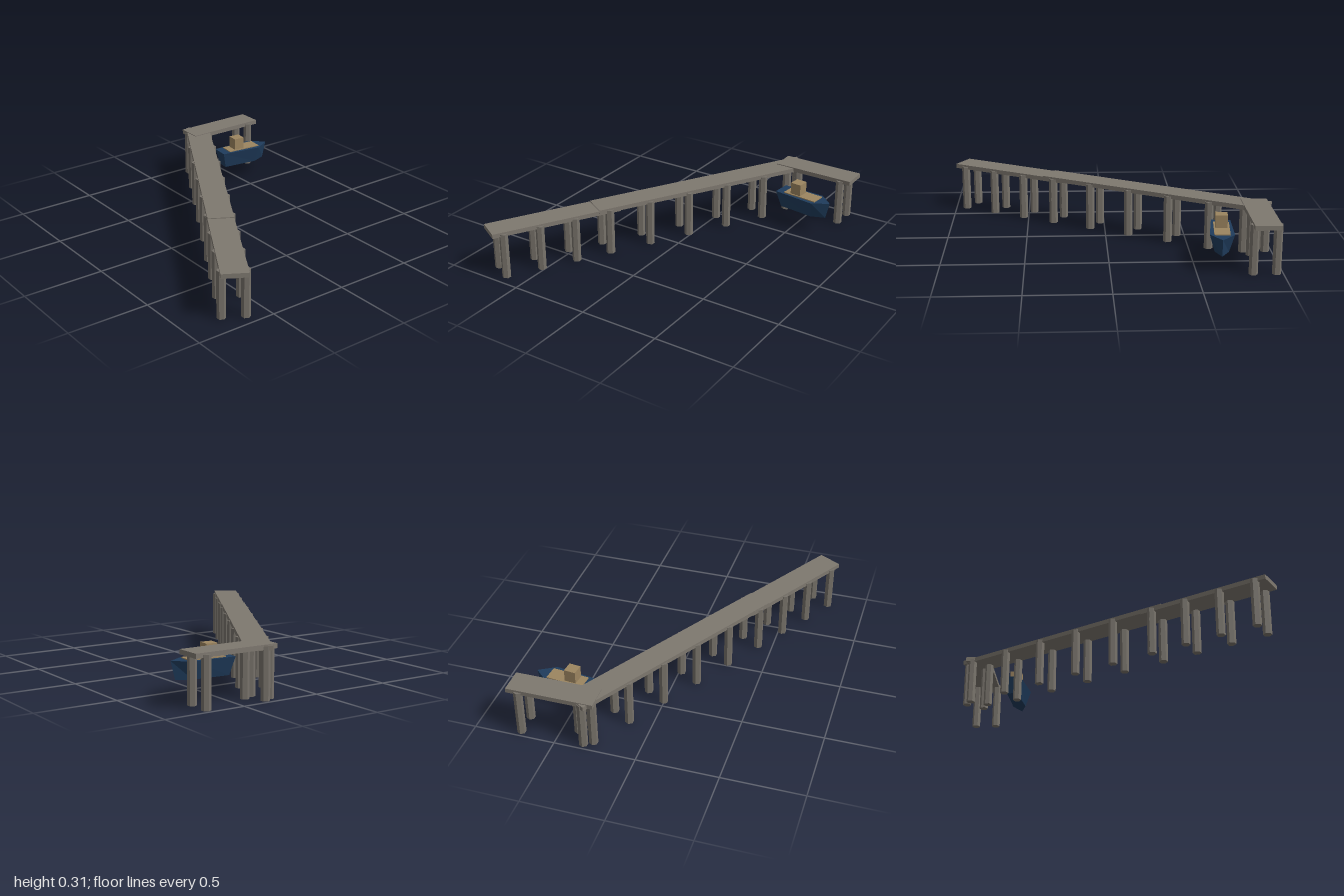
import * as THREE from 'three';

const mat = (name, color) => {
  const m = new THREE.MeshStandardMaterial({ color });
  m.name = name;
  return m;
};

export function createModel() {
  const plank = mat('weathered planks', 0x7e786f);
  const pileWood = mat('weathered piles', 0x77726a);
  const navy = mat('navy hull', 0x1f3c5c);
  const tan = mat('tan wood', 0x9c8560);
  const model = new THREE.Group();

  const add = (parent, name, geometry, material, x, y, z) => {
    const mesh = new THREE.Mesh(geometry, material);
    mesh.name = name;
    mesh.position.set(x, y, z);
    parent.add(mesh);
    return mesh;
  };

  // A pier section: deck running along local +x, carried by pairs of hexagonal piles
  const pier = (name, x, z, angle, length, top, pairs) => {
    const section = new THREE.Group();
    section.name = name;
    section.position.set(x, 0, z);
    section.rotation.y = angle;
    const thick = 0.028, inset = 0.072, pileHeight = top - 0.012;
    add(section, 'deck', new THREE.BoxGeometry(length, thick, 0.158), plank, length / 2, top - thick / 2, 0);
    const pileGeo = new THREE.CylinderGeometry(0.027, 0.027, pileHeight, 6).toNonIndexed();
    pileGeo.computeVertexNormals();
    for (let i = 0; i < pairs; i++) {
      const px = inset + (i * (length - 2 * inset)) / (pairs - 1);
      for (const side of [-1, 1]) add(section, 'pile', pileGeo, pileWood, px, pileHeight / 2, side * 0.068);
    }
    model.add(section);
  };
  pier('shorePier', -0.73, 0.955, Math.PI / 3, 0.83, 0.305, 4);
  pier('mainPier', -0.386, 0.36, Math.PI / 3, 1.52, 0.31, 6);
  pier('headPier', 0.258, -0.892, 0, 0.533, 0.315, 2);

  // Moored boat, bow along local +x
  const boat = new THREE.Group();
  boat.name = 'boat';
  boat.position.set(0.365, 0, -0.678);
  boat.rotation.y = -0.1;
  model.add(boat);

  // Hull: five-sided outlines at keel and gunwale joined by flat faces
  const outline = (y, stern, sternHalf, shoulder, shoulderHalf, bow) => [
    [stern, y, -sternHalf], [shoulder, y, -shoulderHalf], [bow, y, 0],
    [shoulder, y, shoulderHalf], [stern, y, sternHalf],
  ];
  const low = outline(0.106, 0.028, 0.034, 0.262, 0.042, 0.35);
  const high = outline(0.215, 0, 0.058, 0.278, 0.073, 0.377);
  const tris = [];
  for (let i = 0; i < 5; i++) {
    const j = (i + 1) % 5;
    tris.push(low[i], high[i], high[j], low[i], high[j], low[j]);
  }
  for (let i = 1; i < 4; i++) {
    tris.push(high[0], high[i + 1], high[i], low[0], low[i], low[i + 1]);
  }
  const hull = new THREE.BufferGeometry();
  hull.setAttribute('position', new THREE.Float32BufferAttribute(tris.flat(), 3));
  hull.computeVertexNormals();
  add(boat, 'hull', hull, navy, 0, 0, 0);

  // Boat deck and cabin
  add(boat, 'boatDeck', new THREE.BoxGeometry(0.234, 0.008, 0.094), tan, 0.172, 0.217, 0);
  add(boat, 'cabin', new THREE.BoxGeometry(0.072, 0.08, 0.072), tan, 0.137, 0.258, 0.002);

  return model;
}
